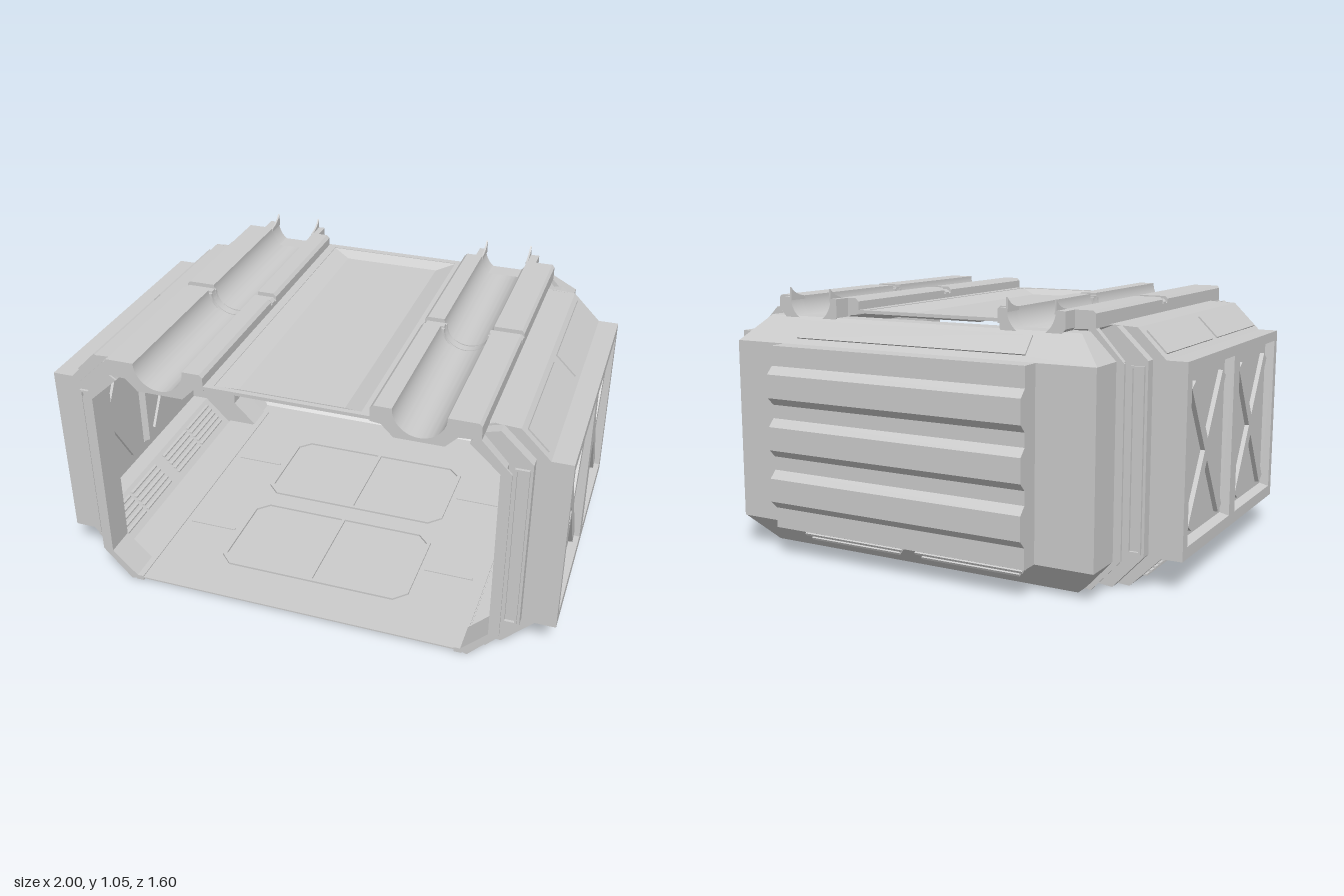
import * as THREE from 'three';
import { toCreasedNormals } from 'three/addons/utils/BufferGeometryUtils.js';

const flat = new THREE.MeshStandardMaterial({ color: 0xcccccc, flatShading: true, side: THREE.DoubleSide });
const smooth = new THREE.MeshStandardMaterial({ color: 0xcccccc, side: THREE.DoubleSide });

function add(parent, name, geo, mat = flat) {
  const m = new THREE.Mesh(geo, mat);
  m.name = name;
  parent.add(m);
  return m;
}

function box(parent, name, w, h, d, x, y, z) {
  const m = add(parent, name, new THREE.BoxGeometry(w, h, d));
  m.position.set(x, y, z);
  return m;
}

const poly = (pts) => new THREE.Shape(pts.map(([x, y]) => new THREE.Vector2(x, y)));

// Extrude an xy outline between two z values
function slab(shape, z0, z1, curveSegments = 12) {
  return new THREE.ExtrudeGeometry(shape, { depth: z1 - z0, bevelEnabled: false, curveSegments }).translate(0, 0, z0);
}

// Skin consecutive cross-sections; optionally close the loops and cap the last
function loft(loops, closed = true, cap = false) {
  const v = [];
  for (let i = 0; i + 1 < loops.length; i++) {
    const a = loops[i], b = loops[i + 1], n = a.length;
    for (let j = 0; j < (closed ? n : n - 1); j++) {
      const k = (j + 1) % n;
      v.push(...a[j], ...a[k], ...b[k], ...a[j], ...b[k], ...b[j]);
    }
  }
  const e = loops[loops.length - 1];
  if (cap) for (let j = 1; j + 1 < e.length; j++) v.push(...e[0], ...e[j], ...e[j + 1]);
  const g = new THREE.BufferGeometry();
  g.setAttribute('position', new THREE.Float32BufferAttribute(v, 3));
  g.computeVertexNormals();
  return g;
}

// Chamfered rectangle outline
function chamfered(hx, hy, c) {
  return [[-hx + c, -hy], [hx - c, -hy], [hx, -hy + c], [hx, hy - c], [hx - c, hy], [-hx + c, hy], [-hx, hy - c], [-hx, -hy + c]];
}

// C-shaped half of an octagonal frame, grown outward by o from the inner opening
const rib = (o) => [[0.66 + o * 0.9, 0], [0.77 + o, 0.12 + o * 0.1], [0.77 + o, 0.83 + o * 0.1], [0.66 + o * 0.9, 0.955]];
const opening = [[0.66, 0.93], [0.77, 0.83], [0.77, 0.12], [0.66, 0.01]];

function buildSide() {
  const g = new THREE.Group();
  const Z0 = -0.415, Z1 = 0.685;

  // Bulged side shell: lower slope, ledges and upper slope
  const strip = (pts) => loft([pts.map(([x, y]) => [x, y, Z0]), pts.map(([x, y]) => [x, y, Z1])], false);
  add(g, 'lowerSideSlope', strip([[0.8, 0], [0.92, 0.12], [1, 0.12]]));
  add(g, 'upperSideSlope', strip([[1, 0.84], [0.92, 0.84], [0.81, 0.95], [0.69, 0.955]]));

  // Outer wall with two openings
  const wall = poly([[-Z1, 0.12], [-Z0, 0.12], [-Z0, 0.84], [-Z1, 0.84]]);
  const bays = [0.4125, -0.1325];
  for (const z of bays) {
    wall.holes.push(new THREE.Path([[-0.238, 0.165], [-0.238, 0.8], [0.238, 0.8], [0.238, 0.165]].map(([s, y]) => new THREE.Vector2(s - z, y))));
  }
  add(g, 'sideWall', slab(wall, 0.99, 1).rotateY(Math.PI / 2));

  for (const z of bays) {
    // Recessed panel with crossed braces
    const rect = (h, v, x) => [[x, 0.4825 - v, z + h], [x, 0.4825 - v, z - h], [x, 0.4825 + v, z - h], [x, 0.4825 + v, z + h]];
    add(g, 'recessedPanel', loft([rect(0.238, 0.318, 1), rect(0.225, 0.305, 0.965)], true, true));
    for (const s of [-1, 1]) {
      box(g, 'crossBrace', 0.03, 0.63, 0.045, 0.968, 0.4775, z).rotation.x = s * Math.atan2(0.175, 0.275);
    }
    // Raised plate on the upper slope
    box(g, 'upperSlopePlate', 0.11, 0.012, 0.49, 0.865, 0.895, z).rotation.z = -Math.PI / 4;
    // Louvred vents on the lower slope
    for (const dz of [-0.122, 0.122]) {
      for (let i = 0; i < 5; i++) {
        const t = 0.035 + i * 0.017;
        box(g, 'ventSlat', 0.024, 0.007, 0.225, 0.8 + t + 0.002, t, z + dz);
      }
    }
  }

  // End plates and stepped frames, front and back
  const frame = (name, outer, z0, z1) => {
    const shape = poly([...outer, ...opening]);
    add(g, name + 'Front', slab(shape, z0, z1));
    add(g, name + 'Back', slab(shape, 0.27 - z1, 0.27 - z0));
  };
  frame('endPlate', [[0.8, 0], [0.92, 0.12], [1, 0.12], [1, 0.84], [0.92, 0.84], [0.81, 0.95], [0.72, 0.955]], 0.678, 0.686);
  frame('wideFrame', rib(0.1), 0.686, 0.73);
  frame('frameWeb', rib(0.015), 0.73, 0.792);
  frame('frameFlange', rib(0.04), 0.792, 0.8);
  for (const z of [0.735, -0.465]) {
    for (const x of [0.812, 0.856]) box(g, 'frameTrim', 0.008, 0.68, 0.012, x, 0.48, z);
    for (const y of [0.144, 0.816]) box(g, 'frameTrim', 0.044, 0.008, 0.012, 0.834, y, z);
  }

  // Roof rail with a round trough, broken by a narrow collar
  const railShape = (top, r) => {
    const s = new THREE.Shape();
    s.moveTo(0.31, 0.95);
    s.lineTo(0.31, top - 0.012);
    s.lineTo(0.322, top);
    s.lineTo(0.485 - r, top);
    s.absarc(0.485, top, r, Math.PI, Math.PI * 2, false);
    for (const p of [[0.69, top], [0.7, top - 0.01], [0.7, 0.95], [0.62, 0.945], [0.575, 0.9], [0.395, 0.9], [0.35, 0.945]]) s.lineTo(...p);
    return s;
  };
  const rail = (name, shape, z0, z1) => add(g, name, toCreasedNormals(slab(shape, z0, z1, 20), 0.6), smooth);
  rail('roofRailRear', railShape(1.013, 0.097), -0.53, 0.105);
  rail('railCollar', railShape(0.997, 0.085), 0.105, 0.118);
  rail('railCollarRidge', railShape(1.003, 0.088), 0.118, 0.145);
  rail('railCollar', railShape(0.997, 0.085), 0.145, 0.158);
  rail('roofRailFront', railShape(1.013, 0.097), 0.158, 0.8);

  // Rear trough end with two swept fins
  const end = new THREE.Shape();
  end.moveTo(0.36, 1.013);
  end.lineTo(0.388, 1.013);
  end.absarc(0.485, 1.013, 0.097, Math.PI, Math.PI * 2, false);
  for (const p of [[0.62, 1.013], [0.62, 0.95], [0.575, 0.9], [0.395, 0.9], [0.36, 0.94]]) end.lineTo(...p);
  rail('railEnd', end, -0.605, -0.53);
  const fin = new THREE.Shape();
  fin.moveTo(0.52, 1.013);
  fin.quadraticCurveTo(0.58, 1.02, 0.605, 1.052);
  fin.lineTo(0.605, 1.0);
  fin.lineTo(0.52, 1.0);
  for (const x of [0.386, 0.578]) add(g, 'railFin', slab(fin, x, x + 0.007).rotateY(Math.PI / 2));
  return g;
}

function buildBack() {
  const g = new THREE.Group();
  g.name = 'rearCap';
  // Octagonal sleeve narrowing to a rectangular back face
  const oct = (z) => [[0.68, 0.01, z], [0.78, 0.12, z], [0.78, 0.84, z], [0.68, 0.94, z], [-0.68, 0.94, z], [-0.78, 0.84, z], [-0.78, 0.12, z], [-0.68, 0.01, z]];
  const rear = oct(-0.69).map(([x, y, z]) => [Math.sign(x) * 0.78, y < 0.5 ? 0.12 : 0.84, z]);
  add(g, 'rearSleeve', loft([oct(-0.52), oct(-0.6), rear]));
  for (const s of [-1, 1]) box(g, 'rearWallPanel', 0.23, 0.72, 0.008, s * 0.665, 0.48, -0.69);

  // Corrugated back panel
  const prof = [[-0.69, 0.12], [-0.77, 0.12]];
  for (const y of [0.2, 0.405, 0.61]) prof.push([-0.77, y], [-0.8, y + 0.03], [-0.8, y + 0.122], [-0.77, y + 0.152]);
  prof.push([-0.77, 0.84], [-0.69, 0.84]);
  add(g, 'corrugatedPanel', loft([-0.55, 0.55].map((x) => prof.map(([z, y]) => [x, y, z])), false));
  for (const x of [-0.55, 0.55]) {
    add(g, 'corrugatedPanelEnd', new THREE.ShapeGeometry(poly(prof.map(([z, y]) => [-z, y]))).rotateY(Math.PI / 2).translate(x, 0, 0));
  }

  // Trapezoid plate on the top bevel
  const plate = box(g, 'topBevelPlate', 1, 0.008, 0.085, 0, 0.893, -0.645);
  plate.rotation.x = -Math.atan2(0.1, 0.09);

  // Louvres on the lower bevel
  for (const s of [-1, 1]) {
    for (let i = 0; i < 3; i++) {
      const m = box(g, 'bevelLouvre', 0.5 - i * 0.04 * -1 - 0.08, 0.01, 0.034, s * 0.26, 0.062 + i * 0.019, -0.64 - i * 0.016);
      m.rotation.x = -0.5;
    }
  }
  return g;
}

export function createModel() {
  const model = new THREE.Group();
  model.name = 'cargoModule';

  const left = buildSide();
  left.name = 'leftSide';
  const right = left.clone();
  right.name = 'rightSide';
  right.scale.x = -1;
  model.add(left, right, buildBack());

  // Roof centre with a sunken tray
  const roof = poly([[-0.315, -0.8], [0.315, -0.8], [0.315, 0.53], [-0.315, 0.53]]);
  roof.holes.push(new THREE.Path([[-0.275, -0.78], [-0.275, 0.51], [0.275, 0.51], [0.275, -0.78]].map(([x, y]) => new THREE.Vector2(x, y))));
  add(model, 'roofFrame', slab(roof, 0.955, 0.968).rotateX(-Math.PI / 2));
  const tray = (h, z0, z1, y) => [[-h, y, z0], [-h, y, z1], [h, y, z1], [h, y, z0]];
  add(model, 'roofTray', loft([tray(0.275, -0.51, 0.78, 0.966), tray(0.2, -0.47, 0.735, 0.942)], true, true));

  // Floor with chamfered, divided frames
  box(model, 'floor', 1.6, 0.006, 1.1, 0, 0.012, 0.135);
  box(model, 'floorEnds', 1.36, 0.006, 1.4, 0, 0.013, 0.1);
  for (const s of [-1, 1]) box(model, 'floorEdge', 0.03, 0.02, 1.33, s * 0.66, 0.01, 0.135);
  for (const z of [-0.125, 0.395]) {
    const f = poly(chamfered(0.4, 0.22, 0.05));
    f.holes.push(new THREE.Path(chamfered(0.385, 0.205, 0.045).reverse().map(([x, y]) => new THREE.Vector2(x, y))));
    const m = add(model, 'floorPanelFrame', slab(f, 0, 0.024).rotateX(-Math.PI / 2));
    m.position.z = z;
    box(model, 'floorDivider', 0.014, 0.024, 0.41, 0, 0.012, z);
    for (const s of [-1, 1]) box(model, 'floorSeam', 0.2, 0.02, 0.012, s * 0.52, 0.01, z);
  }
  return model;
}
